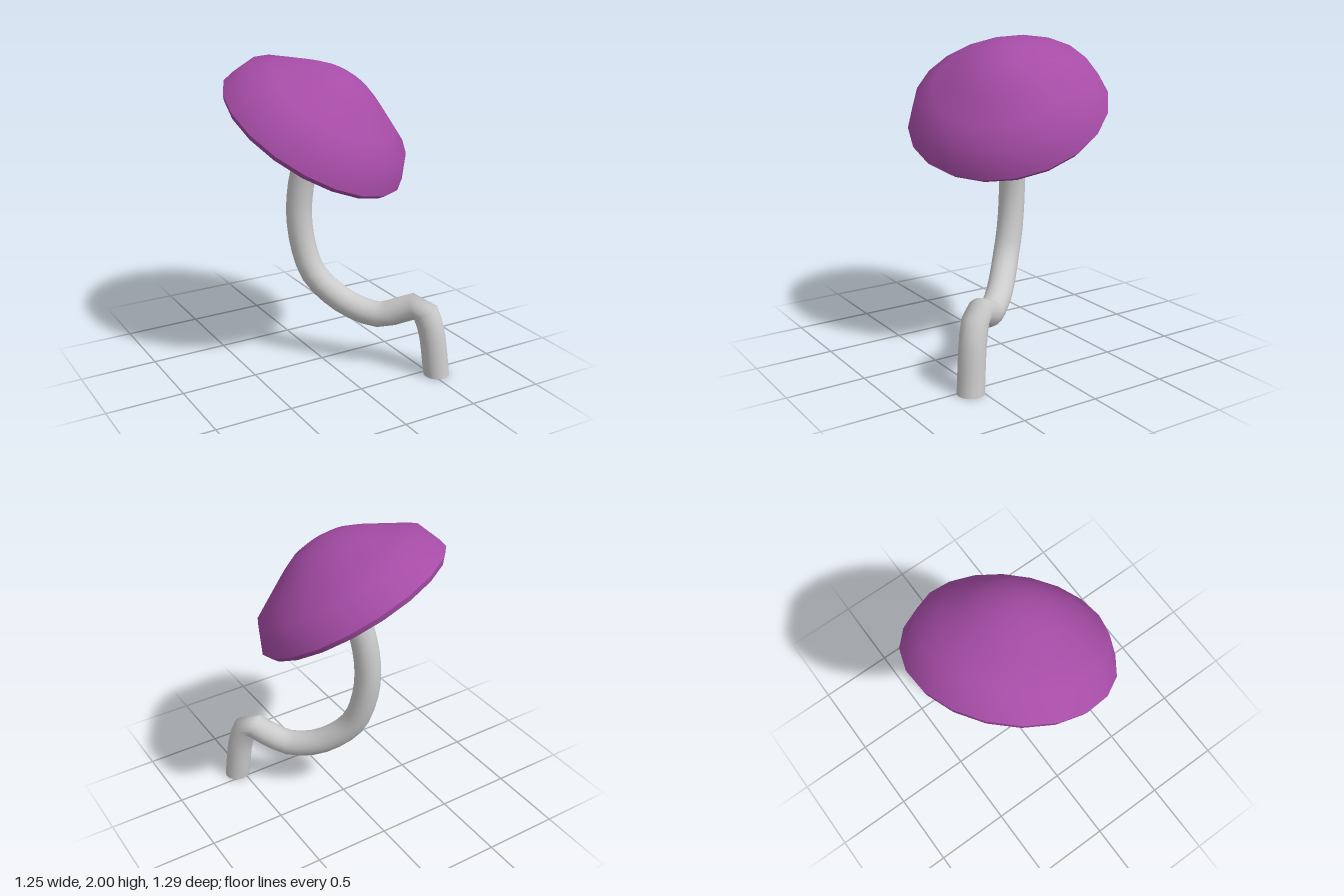
import * as THREE from 'three';
import { toCreasedNormals } from 'three/addons/utils/BufferGeometryUtils.js';

const STEM_RADIUS = 0.085;
const STEM_SIDES = 16;

export function createModel() {
  const model = new THREE.Group();
  model.name = 'mushroom';
  const grey = new THREE.MeshStandardMaterial({ color: 0xcccccc });
  const purple = new THREE.MeshStandardMaterial({ color: 0xa64ca6 });

  // Tilted cap: flat underside, thin rim band, shoulder, shallow valley and central bump
  const profile = [
    [0, -0.035], [0.618, -0.035], [0.643, 0], [0.572, 0.163],
    [0.44, 0.243], [0.3, 0.327], [0.19, 0.382], [0.08, 0.408], [0, 0.415],
  ].map(([r, y]) => new THREE.Vector2(r, y));
  const capGeometry = toCreasedNormals(new THREE.LatheGeometry(profile, 20).rotateY(0.08), 0.8);
  const cap = new THREE.Mesh(capGeometry, purple);
  cap.name = 'cap';
  const axis = new THREE.Vector3(0.33, 0.85, 0.41).normalize();
  cap.quaternion.setFromUnitVectors(new THREE.Vector3(0, 1, 0), axis);
  cap.position.set(-0.02, 1.56, -0.063);
  model.add(cap);

  // Curved stem: short upright foot, sharp bend, then a sweep up into the cap
  const path = new THREE.CatmullRomCurve3([
    [0.535, 0, 0.565], [0.5, 0.34, 0.522], [0.46, 0.455, 0.47], [0.395, 0.42, 0.385],
    [0.28, 0.36, 0.265], [0.16, 0.395, 0.13], [0.055, 0.48, 0.025], [-0.03, 0.6, -0.06],
    [-0.07, 0.76, -0.115], [-0.09, 0.98, -0.145], [-0.08, 1.18, -0.138],
    [-0.055, 1.35, -0.11], [-0.03, 1.52, -0.06],
  ].map((p) => new THREE.Vector3(...p)));
  const stemGeometry = new THREE.TubeGeometry(path, 26, STEM_RADIUS, STEM_SIDES);

  // Level the first ring so the foot stands flat
  const pos = stemGeometry.attributes.position;
  for (let i = 0; i <= STEM_SIDES; i++) pos.setY(i, 0);
  const stem = new THREE.Mesh(stemGeometry, grey);
  stem.name = 'stem';
  model.add(stem);

  // Closing disc under the foot
  const foot = new THREE.Mesh(new THREE.CircleGeometry(STEM_RADIUS, STEM_SIDES), grey);
  foot.name = 'stemFoot';
  foot.rotation.x = Math.PI / 2;
  foot.position.set(0.535, 0, 0.565);
  model.add(foot);

  return model;
}
